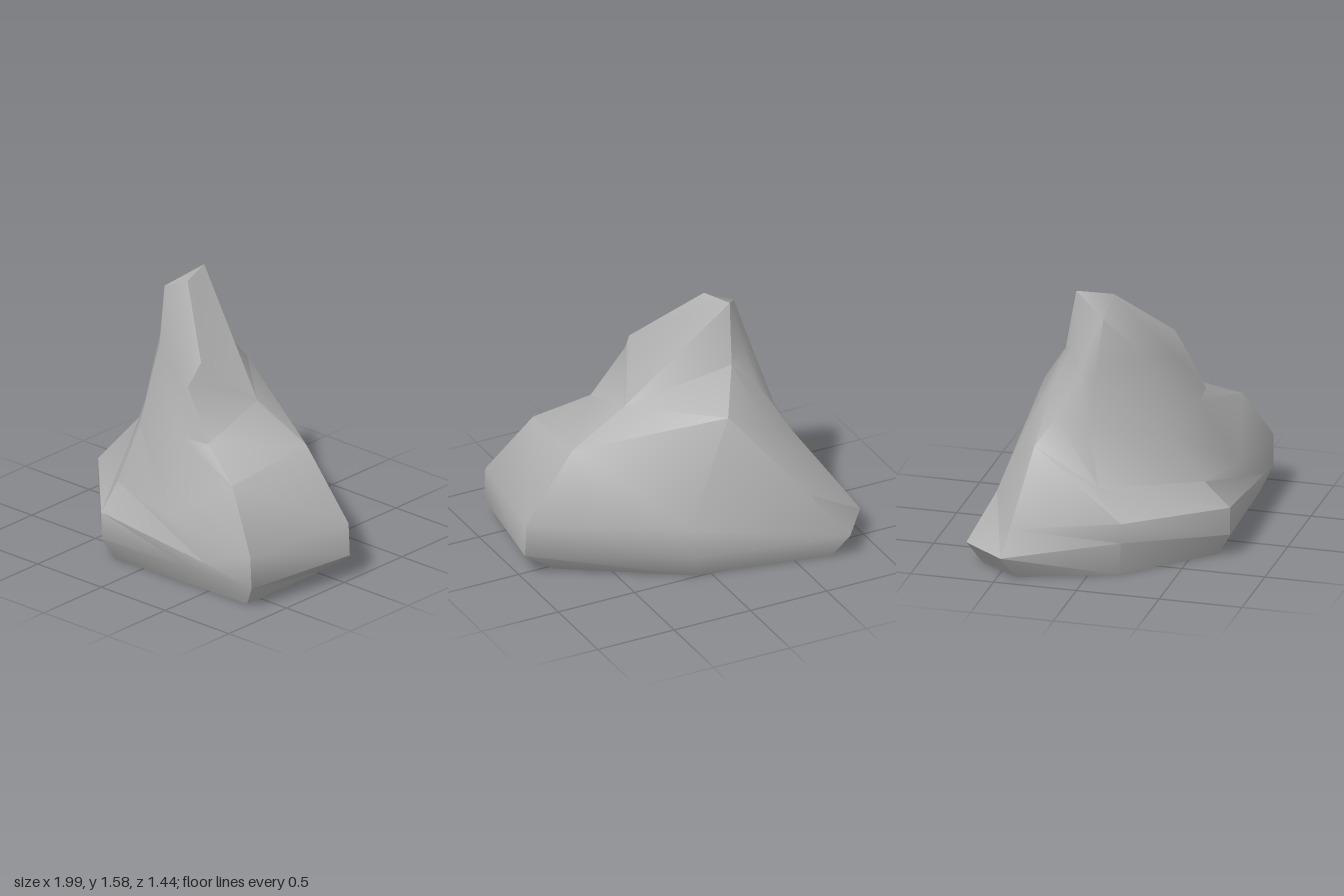
import * as THREE from 'three';
import { toCreasedNormals } from 'three/addons/utils/BufferGeometryUtils.js';

// Summit corners shared by several columns
const peak = [-0.28, 1.58, -0.2];
const peakLeft = [-0.41, 1.47, 0];
const peakFront = [-0.22, 1.56, 0.01];
const notch = [0.31, 0.95, -0.01];
const backSpur = [-0.256, 1.21, -0.27];

// Columns of the boulder, each running from the ground up to the summit
const endBack = [[0.79, 0, -0.03], [0.99, 0.15, -0.06], [0.98, 0.35, -0.06], [0.67, 0.76, -0.04], notch, notch, peak];
const back = [[0.1, 0, -0.48], [0.15, 0.16, -0.55], [0.15, 0.34, -0.54], [-0.15, 0.96, -0.43], backSpur, backSpur, peak];
const backCorner = [[-0.72, 0, -0.64], [-0.8, 0.15, -0.72], [-0.6, 0.41, -0.59], [-0.4, 0.84, -0.42], [-0.41, 1.05, -0.3], [-0.37, 1.27, -0.2], peak];
const side = [[-0.89, 0, -0.39], [-1, 0.15, -0.46], [-0.9, 0.3, -0.43], [-0.61, 0.72, -0.36], [-0.54, 0.88, -0.25], [-0.48, 1.15, -0.13], peakLeft];
const sideFront = [[-0.69, 0, 0.17], [-0.75, 0.22, 0.2], [-0.75, 0.34, 0.2], [-0.62, 0.5, 0.03], [-0.54, 0.86, -0.06], [-0.47, 1.15, -0.03], peakLeft];
const frontCorner = [[-0.22, 0, 0.64], [-0.25, 0.14, 0.72], [-0.255, 0.31, 0.72], [-0.26, 0.46, 0.57], [-0.26, 0.75, 0.38], [-0.25, 1.2, 0.22], peakFront];
const front = [[0.41, 0, 0.62], [0.43, 0.14, 0.69], [0.54, 0.22, 0.71], [0.2, 0.4, 0.65], [0.12, 0.8, 0.43], [0, 1.1, 0.34], peakFront];
const endFront = [[0.79, 0, 0.61], [0.88, 0.14, 0.67], [0.87, 0.34, 0.67], [0.62, 0.68, 0.55], [0.31, 0.81, 0.42], [0.11, 1.1, 0.37], [0.13, 1.23, 0.28]];
const columns = [endBack, back, backCorner, side, sideFront, frontCorner, front, endFront];

function boulderGeometry() {
  const positions = [];
  const triangle = (a, b, c) => {
    if (a !== b && b !== c && c !== a) positions.push(...a, ...b, ...c);
  };

  // Walls between neighbouring columns
  columns.forEach((col, i) => {
    const next = columns[(i + 1) % columns.length];
    for (let j = 0; j < col.length - 1; j++) {
      triangle(col[j], next[j], col[j + 1]);
      triangle(next[j], next[j + 1], col[j + 1]);
    }
  });

  // Flat underside
  for (let i = 1; i < columns.length - 1; i++) {
    triangle(columns[0][0], columns[i + 1][0], columns[i][0]);
  }

  // Sloping summit facets
  triangle(peak, peakLeft, peakFront);
  triangle(peak, peakFront, endFront[6]);

  const geometry = new THREE.BufferGeometry();
  geometry.setAttribute('position', new THREE.Float32BufferAttribute(positions, 3));
  return toCreasedNormals(geometry, THREE.MathUtils.degToRad(48));
}

export function createModel() {
  const stone = new THREE.MeshStandardMaterial({ color: 0xb0b0b0 });
  stone.name = 'stone grey';

  const boulder = new THREE.Mesh(boulderGeometry(), stone);
  boulder.name = 'boulder';

  const group = new THREE.Group();
  group.name = 'rock';
  group.add(boulder);
  return group;
}
